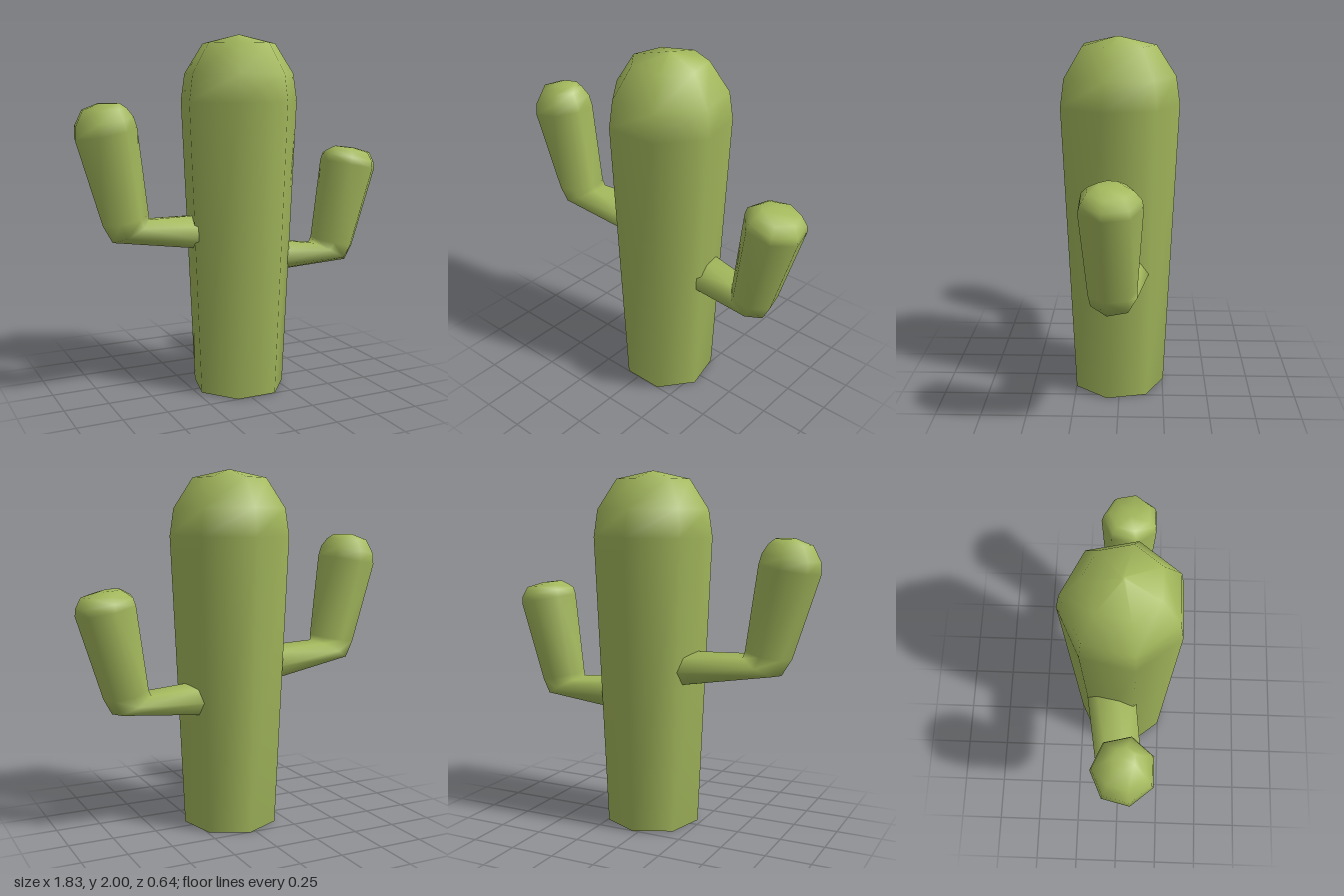
import * as THREE from 'three';

const SIDES = 7;

// Skin over heptagonal rings. Each ring is [innerX, innerY, outerX, outerY, centreZ, radiusZ];
// one corner of every ring points backwards. Both ends are closed with a fan.
function loft(rings, mirrored) {
  const pos = [], idx = [];
  const width = 2 * Math.sin((4 * Math.PI) / SIDES);
  const tri = (a, b, c) => (mirrored ? idx.push(a, c, b) : idx.push(a, b, c));
  for (const [ix, iy, ox, oy, z, rz] of rings) {
    for (let j = 0; j < SIDES; j++) {
      const a = (j / SIDES) * Math.PI * 2, s = Math.sin(a) / width;
      pos.push((ix + ox) / 2 + (ix - ox) * s, (iy + oy) / 2 + (iy - oy) * s, z - rz * Math.cos(a));
    }
  }
  for (let i = 0; i < rings.length - 1; i++) {
    for (let j = 0; j < SIDES; j++) {
      const a = i * SIDES + j, b = i * SIDES + ((j + 1) % SIDES);
      tri(a, a + SIDES, b);
      tri(b, a + SIDES, b + SIDES);
    }
  }
  // end caps
  const last = rings.length - 1;
  for (const r of [0, last]) {
    const [ix, iy, ox, oy, z] = rings[r], centre = pos.length / 3;
    pos.push((ix + ox) / 2, (iy + oy) / 2, z);
    for (let j = 0; j < SIDES; j++) {
      const a = r * SIDES + j, b = r * SIDES + ((j + 1) % SIDES);
      if (r === 0) tri(centre, a, b);
      else tri(centre, b, a);
    }
  }
  const g = new THREE.BufferGeometry();
  g.setAttribute('position', new THREE.Float32BufferAttribute(pos, 3));
  g.setIndex(idx);
  g.computeVertexNormals();
  return g;
}

export function createModel() {
  const group = new THREE.Group();
  const green = new THREE.MeshStandardMaterial({ color: 0xa3b85c });
  green.name = 'cactusGreen';
  const add = (name, rings, mirrored) => {
    const mesh = new THREE.Mesh(loft(rings, mirrored), green);
    mesh.name = name;
    group.add(mesh);
  };

  // trunk: slightly flared column with a domed top, as [radius, height]
  const profile = [[0.265, 0], [0.336, 1.64], [0.314, 1.79], [0.207, 1.955], [0.01, 2]];
  add('trunk', profile.map(([r, y]) => [0.035 + r * 0.975, y, 0.035 - r * 0.975, y, 0.01, r]), false);

  // higher arm on the right
  add('rightArm', [
    [-0.15, 1.01, -0.15, 0.812, -0.045, 0.145],
    [-0.515, 1.015, -0.72, 0.905, 0.015, 0.13],
    [-0.52, 1.045, -0.775, 1.0, 0.025, 0.13],
    [-0.583, 1.515, -0.915, 1.455, 0.037, 0.165],
    [-0.6, 1.57, -0.912, 1.52, 0.037, 0.155],
    [-0.635, 1.615, -0.87, 1.605, 0.037, 0.12],
    [-0.67, 1.64, -0.78, 1.64, 0.037, 0.06],
  ], false);

  // lower arm on the left
  add('leftArm', [
    [0.2, 0.84, 0.2, 0.645, -0.04, 0.135],
    [0.515, 0.8, 0.725, 0.685, 0.02, 0.125],
    [0.525, 0.825, 0.77, 0.77, 0.025, 0.13],
    [0.587, 1.29, 0.91, 1.225, 0.03, 0.165],
    [0.6, 1.33, 0.908, 1.265, 0.03, 0.155],
    [0.635, 1.35, 0.88, 1.325, 0.03, 0.12],
    [0.67, 1.368, 0.78, 1.355, 0.03, 0.06],
  ], true);

  return group;
}
